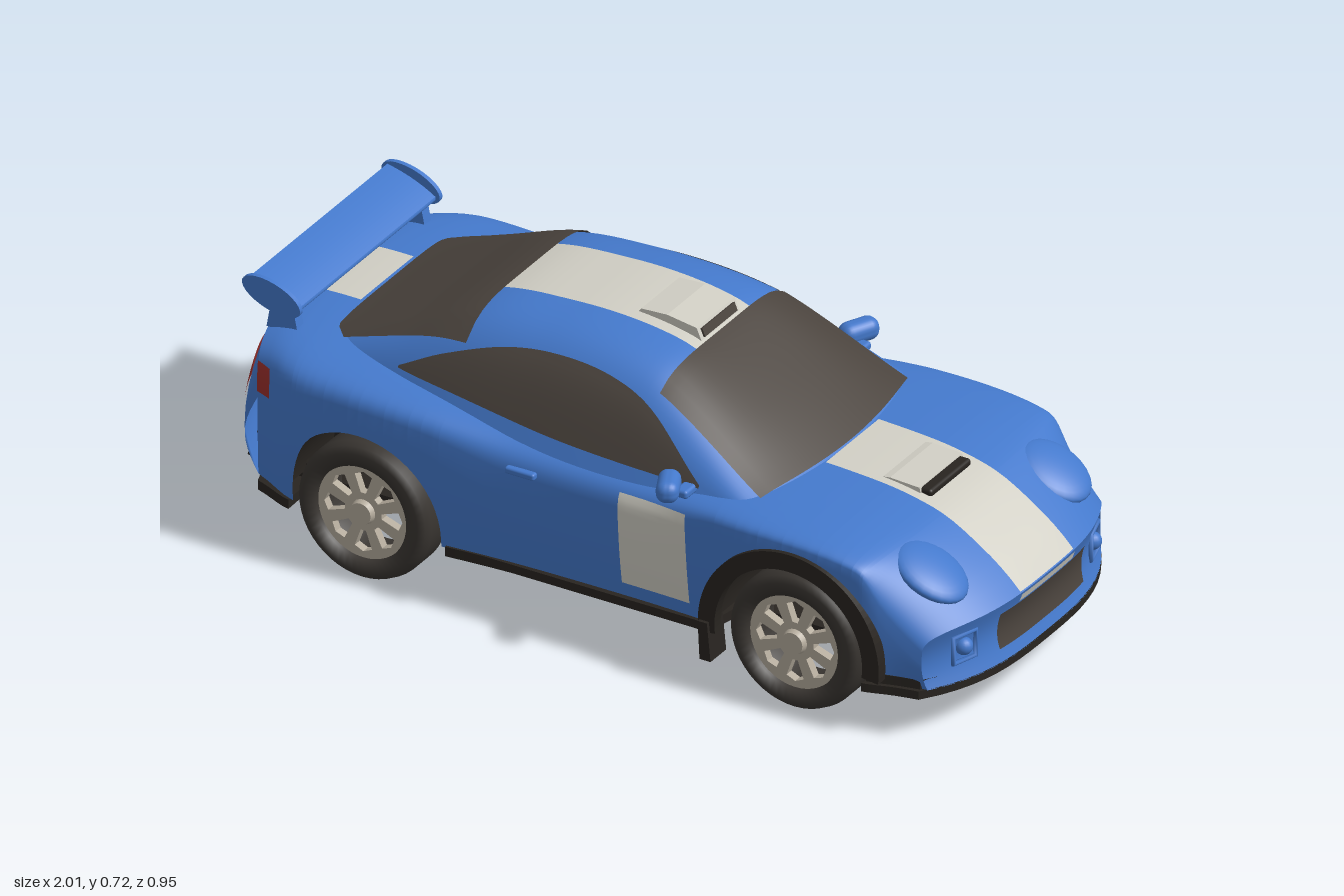
import * as THREE from 'three';
import { RoundedBoxGeometry } from 'three/addons/geometries/RoundedBoxGeometry.js';

const paint = (name, color) => new THREE.MeshStandardMaterial({ name, color, side: THREE.DoubleSide });

// smooth curve through [x, value] pairs
const curve = pts => x => {
  const n = pts.length - 1;
  if (x <= pts[0][0]) return pts[0][1];
  if (x >= pts[n][0]) return pts[n][1];
  let i = 0;
  while (x > pts[i + 1][0]) i++;
  const slope = k => {
    const p = pts[Math.max(k - 1, 0)], q = pts[Math.min(k + 1, n)];
    return (q[1] - p[1]) / (q[0] - p[0]);
  };
  const [x0, y0] = pts[i], [x1, y1] = pts[i + 1], h = x1 - x0, t = (x - x0) / h;
  return y0 * (1 + 2 * t) * (1 - t) ** 2 + y1 * t * t * (3 - 2 * t)
    + h * (slope(i) * t * (1 - t) ** 2 + slope(i + 1) * t * t * (t - 1));
};
const { lerp, clamp, smoothstep } = THREE.MathUtils;

// lower body rules, all along the length
const N = 5, FRONT = 1, REAR = -0.955, ARCH = 0.215, AXLES = [-0.6, 0.57], AXLE_Y = 0.177;
const topY = curve([[-0.955, 0.52], [-0.9, 0.532], [-0.75, 0.533], [-0.5, 0.515], [-0.2, 0.485], [0.1, 0.475],
  [0.42, 0.474], [0.6, 0.466], [0.7, 0.453], [0.8, 0.425], [0.9, 0.367], [0.96, 0.322], [1, 0.283]]);
const midY = curve([[-0.955, 0.38], [-0.8, 0.4], [-0.6, 0.41], [-0.42, 0.4], [-0.2, 0.34], [0.15, 0.34],
  [0.36, 0.4], [0.75, 0.4], [0.87, 0.31], [1, 0.2]]);
const width = curve([[-0.955, 0.395], [-0.85, 0.435], [-0.65, 0.447], [-0.45, 0.443], [-0.2, 0.425], [0.1, 0.42],
  [0.3, 0.425], [0.45, 0.438], [0.7, 0.438], [0.85, 0.428], [1, 0.4]]);
const sill = curve([[-0.955, 0.17], [-0.8, 0.155], [0.3, 0.145], [0.8, 0.13], [1, 0.13]]);
const bottom = s => {
  const c = AXLES.find(a => Math.abs(s - a) < ARCH);
  return c === undefined ? sill(s) : AXLE_Y + Math.sqrt(ARCH ** 2 - (s - c) ** 2);
};
const bendX = (s, z) => s - Math.abs(z / 0.4) ** 3 * (s > 0 ? 0.1 * smoothstep(s, 0.7, 1) : -0.055 * smoothstep(-s, 0.7, 0.955));
const at = (s, y, z) => [bendX(s, z), y, z];
const dome = a => Math.max(0, 1 - Math.abs(a) ** N) ** (1 / N);
const spread = v => Math.sign(v) * Math.sin(Math.PI / 2 * v * v) ** (2 / N);
const taper = (s, y) => 1 - 0.03 * clamp((midY(s) - y) / (midY(s) - sill(s)), 0, 1) ** 2;
const bodyTop = (s, a, lift = 0) => at(s, lerp(midY(s), topY(s), dome(a)) + lift, width(s) * a);
const sideZ = (s, y) => y < midY(s) ? width(s) * taper(s, y)
  : width(s) * dome((y - midY(s)) / (topY(s) - midY(s)));
const bodyPoint = (s, v) => {
  const q = Math.abs(v), sg = Math.sign(v);
  if (q <= 0.7) return bodyTop(s, spread(v / 0.7));
  const y = lerp(midY(s), bottom(s), (q - 0.7) / 0.3);
  return at(s, y, sg * width(s) * taper(s, y));
};
const capPoint = (s, a, t, lift = 0) => {
  const y = lerp(bodyTop(s, a)[1], sill(s), t), z = width(s) * a * taper(s, y), bow = Math.sin(Math.PI * t);
  return [bendX(s, z) + (s > 0 ? lift - 0.018 * bow : -lift - 0.035 * bow), y, z];
};

// cabin rules
const BASE = 0.42;
const roofY = curve([[-0.82, 0.522], [-0.75, 0.547], [-0.6, 0.605], [-0.4, 0.684], [-0.2, 0.705], [-0.05, 0.704],
  [0.08, 0.685], [0.15, 0.658], [0.3, 0.575], [0.475, 0.468]]);
const cabinW = curve([[-0.82, 0.33], [-0.5, 0.385], [-0.2, 0.4], [0.1, 0.4], [0.475, 0.385]]);
const cabinEdge = (s, y) => cabinW(s) - (y - BASE) * 0.43;
const cabinTop = (s, a, lift = 0) => {
  const y = lerp(BASE, roofY(s), dome(a)), z = cabinEdge(s, y) * a;
  return [s - 0.05 * smoothstep(s, 0.05, 0.45) * (z / 0.35) ** 2, y + lift, z];
};
const cabinSideZ = (s, y) => cabinEdge(s, y) * dome(clamp((y - BASE) / (roofY(s) - BASE), 0, 1));

// smooth sheet from a rule of u and v, both 0 to 1
function sheet(nu, nv, rule) {
  const pos = [], idx = [];
  for (let i = 0; i <= nu; i++) for (let j = 0; j <= nv; j++) {
    pos.push(...rule(i / nu, j / nv));
    if (i < nu && j < nv) {
      const k = i * (nv + 1) + j;
      idx.push(k, k + 1, k + nv + 1, k + 1, k + nv + 2, k + nv + 1);
    }
  }
  const g = new THREE.BufferGeometry();
  g.setAttribute('position', new THREE.Float32BufferAttribute(pos, 3));
  g.setIndex(idx);
  g.computeVertexNormals();
  return g;
}
const extrude = (shape, depth) => new THREE.ExtrudeGeometry(shape, { depth, bevelEnabled: false, curveSegments: 24 });
const poly = pts => new THREE.Shape(pts.map(p => new THREE.Vector2(...p)));

export function createModel() {
  const blue = paint('bodyBlue', 0x4479cc), white = paint('stripeWhite', 0xd0cec4), glass = paint('darkGlass', 0x4a433d),
    rubber = paint('tyreRubber', 0x393531), black = paint('trimBlack', 0x282420), metal = paint('rimMetal', 0xb5ac9d),
    red = paint('lampRed', 0x9c302c);
  const car = new THREE.Group();
  const add = (name, geo, mat, x = 0, y = 0, z = 0, parent = car) => {
    const m = new THREE.Mesh(geo, mat);
    m.name = name;
    m.position.set(x, y, z);
    parent.add(m);
    return m;
  };

  // body shell, with extra stations round the wheel arches
  const stations = [];
  for (let i = 0; i <= 60; i++) stations.push(lerp(REAR, FRONT, i / 60));
  for (const c of AXLES) for (let i = 0; i <= 28; i++) stations.push(c - 1.0001 * ARCH * Math.cos(Math.PI * i / 28));
  for (const c of AXLES) stations.push(c - ARCH * 0.999, c + ARCH * 0.999);
  stations.sort((a, b) => a - b);
  const last = stations.length - 1;
  add('bodyShell', sheet(last, 80, (u, v) => bodyPoint(stations[Math.round(u * last)], 2 * v - 1)), blue);
  add('noseFascia', sheet(56, 10, (u, v) => capPoint(FRONT, spread(2 * u - 1), v)), blue);
  add('tailPanel', sheet(56, 10, (u, v) => capPoint(REAR, spread(2 * u - 1), v)), blue);
  add('cabin', sheet(60, 56, (u, v) => cabinTop(lerp(-0.82, 0.475, u), spread(2 * v - 1))), blue);

  // sheets lying on the surfaces: rule, length range, cross range
  const patch = (name, rule, s0, s1, a0, a1, mat) =>
    add(name, sheet(20, 20, (u, v) => rule(lerp(s0, s1, u), lerp(a0, a1, v), 0.005)), mat);
  const onHood = (s, z, l) => bodyTop(s, z / width(s), l);
  const onRoof = (s, z, l) => cabinTop(s, z / cabinEdge(s, roofY(s)), l);
  const onNose = (t, z, l) => capPoint(FRONT, z / width(FRONT), t, l);
  const onTail = (t, z, l) => capPoint(REAR, z / width(REAR), t, l);
  patch('windscreen', cabinTop, 0.12, 0.465, -0.9, 0.9, glass);
  patch('rearWindow', onRoof, -0.78, -0.4, -0.265, 0.265, glass);
  patch('roofStripe', onRoof, -0.4, 0.12, -0.118, 0.118, white);
  patch('hoodStripe', onHood, 0.47, 1, -0.118, 0.118, white);
  patch('deckStripe', onHood, REAR, -0.79, -0.118, 0.118, white);
  patch('noseStripe', onNose, 0, 0.13, -0.118, 0.118, white);
  patch('grille', onNose, 0.16, 0.78, -0.188, 0.188, glass);
  patch('tailStripe', onTail, 0, 0.58, -0.118, 0.118, white);
  patch('plateRecess', onTail, 0.58, 0.68, -0.1, 0.1, black);
  patch('rearValance', onTail, 0.84, 1, -0.38, 0.38, black);

  // rear diffuser fins
  for (let i = 0; i < 7; i++) {
    const z = (i - 3) * 0.105;
    add('diffuserFin', extrude(poly([[-0.03, 0.07], [-0.05, 0], [0.11, -0.02], [0.11, 0.05]]), 0.014), black,
      bendX(-0.95, z), 0.172, z - 0.007);
  }

  // underside and front splitter follow the body plan
  const plan = (s0, s1, grow) => {
    const edge = [];
    for (let i = 0; i <= 80; i++) {
      const s = lerp(s0, s1, i / 80), inArch = AXLES.some(c => Math.abs(s - c) < ARCH);
      const z = inArch ? 0.3 : width(s) * grow;
      edge.push([bendX(s, z), z]);
    }
    const nose = [];
    for (let i = 1; i < 20; i++) {
      const z = width(s1) * (1 - i / 10);
      nose.push([bendX(s1, z), z]);
    }
    const tail = [];
    for (let i = 1; i < 20; i++) {
      const z = width(s0) * (i / 10 - 1);
      tail.push([bendX(s0, z), z]);
    }
    return poly([...edge, ...nose, ...edge.map(([x, z]) => [x, -z]).reverse(), ...tail]);
  };
  add('underside', extrude(plan(REAR, 0.99, 0.985), 0.025).rotateX(Math.PI / 2), black, 0, 0.156, 0);
  add('splitter', extrude(plan(0.79, FRONT, 1.015), 0.022).rotateX(Math.PI / 2), black, 0, 0.132, 0);

  // wheel shapes
  const tyreGeo = new THREE.LatheGeometry([[0.122, -0.058], [0.155, -0.063], [0.171, -0.053], [0.177, -0.035], [0.177, 0.035],
    [0.171, 0.053], [0.155, 0.063], [0.122, 0.058], [0.122, -0.058]].map(p => new THREE.Vector2(...p)), 48).rotateX(Math.PI / 2);
  const rimShape = new THREE.Shape().absarc(0, 0, 0.126, 0, Math.PI * 2);
  for (let i = 0; i < 8; i++) {
    const c = i * Math.PI / 4, p = (r, d) => new THREE.Vector2(r * Math.cos(c + d), r * Math.sin(c + d));
    rimShape.holes.push(new THREE.Path([p(0.05, -0.14), p(0.098, -0.24), p(0.106, 0), p(0.098, 0.24), p(0.05, 0.14)]));
  }
  const rimGeo = extrude(rimShape, 0.022);
  const hubGeo = new THREE.CylinderGeometry(0.028, 0.034, 0.02, 20).rotateX(Math.PI / 2);
  const wellGeo = new THREE.CylinderGeometry(ARCH, ARCH, 0.22, 32, 1, true, Math.PI / 2, Math.PI).rotateX(Math.PI / 2);
  const flareShape = new THREE.Shape().absarc(0, 0, 0.245, -0.12, Math.PI + 0.12, false);
  flareShape.absarc(0, 0, 0.2, Math.PI + 0.12, -0.12, true);

  // window outline along the side
  const glassTop = curve([[-0.56, 0.535], [-0.45, 0.59], [-0.3, 0.64], [-0.15, 0.657], [0, 0.645], [0.12, 0.603], [0.28, 0.483]]);
  const glassLow = curve([[-0.56, 0.53], [-0.4, 0.52], [-0.1, 0.492], [0.28, 0.476]]);

  for (const side of [1, -1]) {
    for (const cx of AXLES) {
      const wheel = new THREE.Group();
      wheel.name = cx > 0 ? 'frontWheel' : 'rearWheel';
      wheel.position.set(cx, AXLE_Y, side * 0.372);
      if (side < 0) wheel.rotation.y = Math.PI;
      add('tyre', tyreGeo, rubber, 0, 0, 0, wheel);
      add('rim', rimGeo, metal, 0, 0, 0.026, wheel);
      add('hub', hubGeo, metal, 0, 0, 0.052, wheel);
      car.add(wheel);
      add('wheelWell', wellGeo, black, cx, AXLE_Y, side * 0.31);
      add('wheelWellWall', new THREE.CircleGeometry(ARCH, 32, 0, Math.PI), black, cx, AXLE_Y, side * 0.2);
    }
    add('archFlare', extrude(flareShape, 0.03), black, 0.57, AXLE_Y, side * 0.436 - 0.015);
    add('mudFlap', extrude(poly([[0, 0.1], [-0.025, 0.1], [-0.02, 0], [0.01, 0]]), 0.07), black, 0.355, 0.08, side * 0.425 - 0.035);
    add('sideSkirt', new THREE.BoxGeometry(0.73, 0.022, 0.03), black, -0.01, 0.145, side * 0.408);

    // side windows, door panels and tail lamps
    add('sideWindow', sheet(40, 10, (u, v) => {
      const s = lerp(-0.56, 0.28, u), y = lerp(glassLow(s), glassTop(s), v);
      return [s, y, side * (cabinSideZ(s, y) + 0.005)];
    }), glass);
    add('doorPanel', sheet(8, 16, (u, v) => {
      const s = lerp(0.09, 0.275, u) + 0.01 * (1 - v), y = lerp(0.195, 0.43, v);
      return at(s, y, side * (sideZ(s, y) + 0.006));
    }), white);
    patch('tailLamp', onTail, 0.1, 0.36, side * 0.25, side * 0.385, red);
    add('tailLampSide', sheet(6, 10, (u, v) => {
      const s = lerp(REAR, -0.915, u), y = lerp(0.4, 0.475, v);
      return at(s, y, side * (sideZ(s, y) + 0.005));
    }), red);
    add('doorHandle', new RoundedBoxGeometry(0.08, 0.018, 0.02, 2, 0.006), blue, -0.17, 0.41, side * 0.425);

    // door mirror
    add('mirrorHousing', new RoundedBoxGeometry(0.055, 0.055, 0.1, 3, 0.024), blue, 0.23, 0.493, side * 0.425).rotation.y = side * 0.45;
    add('mirrorStalk', new RoundedBoxGeometry(0.035, 0.022, 0.08, 2, 0.008), blue, 0.255, 0.472, side * 0.375);

    // lamp covers in the nose
    const cover = add('headlightCover', new THREE.SphereGeometry(1, 24, 16), blue, 0.85, 0.375, side * 0.275);
    cover.scale.set(0.1, 0.03, 0.085);
    cover.rotation.z = -0.5;
    const fog = add('fogLampFrame', new THREE.TorusGeometry(0.048, 0.007, 8, 4, Math.PI * 2).rotateZ(Math.PI / 4), blue, 0.95, 0.212, side * 0.29);
    fog.rotation.y = Math.PI / 2 - side * 0.3;
    add('fogLamp', new THREE.SphereGeometry(0.022, 16, 12), blue, 0.947, 0.212, side * 0.288);

    // wing end plate and strut
    const plate = add('wingEndPlate', new THREE.CylinderGeometry(1, 1, 0.012, 28).rotateX(Math.PI / 2), blue, -0.912, 0.608, side * 0.312);
    plate.scale.set(0.082, 0.037, 1);
    plate.rotation.z = -0.3;
    add('wingStrut', extrude(poly([[-0.935, 0.515], [-0.85, 0.515], [-0.865, 0.59], [-0.92, 0.6]]), 0.03), blue, 0, 0, side * 0.285 - 0.015);
  }

  // wing blade
  const blade = new THREE.Shape().moveTo(-0.975, 0.64);
  blade.quadraticCurveTo(-0.9, 0.625, -0.845, 0.59).quadraticCurveTo(-0.84, 0.575, -0.86, 0.575)
    .quadraticCurveTo(-0.92, 0.59, -0.975, 0.63);
  add('wingBlade', extrude(blade, 0.62), blue, 0, 0, -0.31);

  // roof scoop and hood vent
  const scoop = poly([[-0.07, 0.69], [-0.05, 0.718], [0.02, 0.722], [0.1, 0.71], [0.115, 0.675]]);
  add('roofScoop', extrude(scoop, 0.17), white, 0, 0, -0.085);
  add('roofScoopMouth', new THREE.BoxGeometry(0.008, 0.022, 0.145), glass, 0.108, 0.694, 0).rotation.z = 0.4;
  add('hoodVentLip', extrude(poly([[0.56, 0.462], [0.63, 0.473], [0.71, 0.469], [0.715, 0.445]]), 0.19), white, 0, 0, -0.095);
  add('hoodVent', new RoundedBoxGeometry(0.035, 0.02, 0.18, 2, 0.008), black, 0.722, 0.457, 0);
  return car;
}
